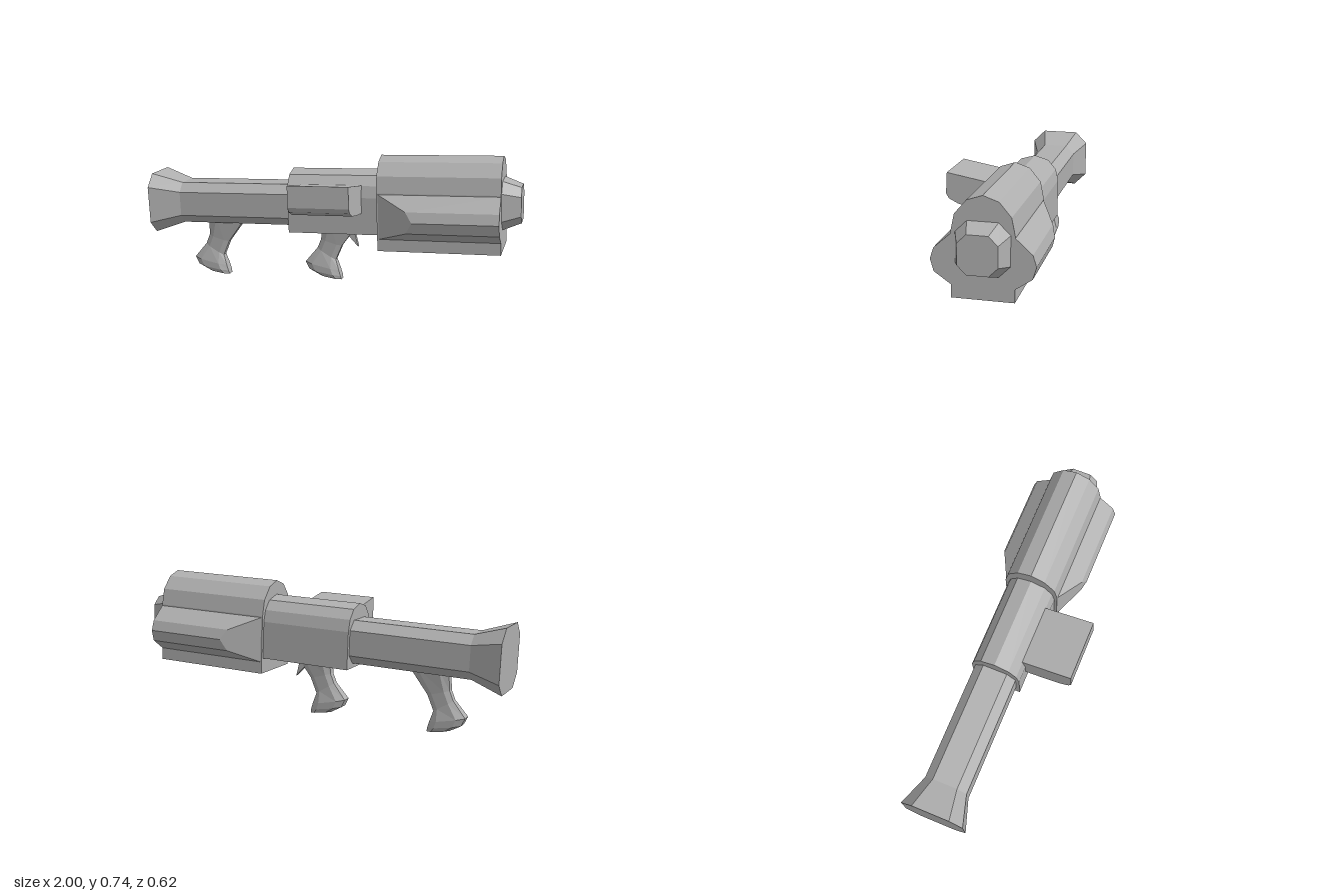
import * as THREE from 'three';

const grey = new THREE.MeshStandardMaterial({ color: 0xb0b0b0, flatShading: true });
grey.name = 'gunmetal grey';

// Octagon factors; f is the share of each side left flat
const octagon = (f) => [[1, -f], [1, f], [f, 1], [-f, 1], [-1, f], [-1, -f], [-f, -1], [f, -1]];

// Skin a series of rings and close both ends with fans
function loft(name, rings) {
  const pos = [];
  const n = rings[0].length;
  const tri = (...pts) => pts.forEach((p) => pos.push(p.x, p.y, p.z));
  const centre = (ring) => ring.reduce((s, p) => s.add(p), new THREE.Vector3()).divideScalar(n);
  for (let i = 0; i < rings.length - 1; i++) {
    for (let j = 0; j < n; j++) {
      const k = (j + 1) % n;
      const a = rings[i][j], b = rings[i][k], c = rings[i + 1][k], d = rings[i + 1][j];
      tri(a, d, c);
      tri(a, c, b);
    }
  }
  const first = rings[0], last = rings[rings.length - 1];
  const c0 = centre(first), c1 = centre(last);
  for (let j = 0; j < n; j++) {
    const k = (j + 1) % n;
    tri(c0, first[j], first[k]);
    tri(c1, last[k], last[j]);
  }
  const geo = new THREE.BufferGeometry();
  geo.setAttribute('position', new THREE.Float32BufferAttribute(pos, 3));
  geo.computeVertexNormals();
  const mesh = new THREE.Mesh(geo, grey);
  mesh.name = name;
  return mesh;
}

// Ring of [z, y] points at x, where x may depend on z
const ringAt = (profile, x) =>
  profile.map(([z, y]) => new THREE.Vector3(typeof x === 'function' ? x(z) : x, y, z));

const prism = (name, profile, x0, x1) => loft(name, [ringAt(profile, x0), ringAt(profile, x1)]);

// Full symmetric profile from its right half, listed bottom to top and ending on the centre line
const mirrored = (half) => [...half, ...half.slice(0, -1).reverse().map(([z, y]) => [-z, y])];

// Octagonal tube through stations [x, radius, centre height, flat share]
const octTube = (name, stations) =>
  loft(name, stations.map(([x, r, cy, f]) => ringAt(octagon(f).map(([a, b]) => [a * r, cy + b * r]), x)));

// Pistol grip: rings spanning rear point to front point with a half width
function makeGrip(name) {
  const sections = [
    [-0.70, 0.33, -0.49, 0.33, 0.04],
    [-0.705, 0.22, -0.59, 0.19, 0.03],
    [-0.725, 0.17, -0.623, 0.11, 0.03],
    [-0.79, 0.09, -0.605, 0.055, 0.045],
    [-0.77, 0.05, -0.595, 0.022, 0.045],
    [-0.71, 0.018, -0.59, 0.002, 0.034],
  ];
  return loft(name, sections.map(([lx, ly, rx, ry, w]) =>
    octagon(0.55).map(([a, b]) => new THREE.Vector3(
      (lx + rx) / 2 + (b * (rx - lx)) / 2, (ly + ry) / 2 + (b * (ry - ly)) / 2, a * w))));
}

export function createModel() {
  const model = new THREE.Group();
  model.name = 'launcher';
  const core = new THREE.Group();
  core.name = 'core';
  core.position.z = -0.07;
  model.add(core);

  // The body points slightly upward
  const body = new THREE.Group();
  body.name = 'body';
  body.rotation.z = 0.04;
  core.add(body);

  // Rear tube with flared end
  body.add(octTube('rearTube', [
    [-0.977, 0.163, 0.442, 0.6], [-0.815, 0.111, 0.441, 0.58], [-0.18, 0.111, 0.441, 0.58],
  ]));

  // Receiver with rounded top
  body.add(prism('receiver', mirrored(
    [[0.13, 0.306], [0.13, 0.5], [0.115, 0.56], [0.075, 0.608], [0, 0.63]]), -0.19, 0.3));

  // Large front housing
  const u0 = 0.293, u1 = 0.922;
  body.add(prism('frontHousing', mirrored(
    [[0.145, 0.226], [0.145, 0.53], [0.128, 0.614], [0.073, 0.679], [0, 0.704]]), u0, u1));

  // Side pods with slanted rear faces
  const pod = [[0.143, 0.287], [0.223, 0.342], [0.24, 0.4], [0.223, 0.453], [0.143, 0.525]];
  for (const side of [1, -1]) {
    const profile = side > 0 ? pod : pod.map(([z, y]) => [-z, y]).reverse();
    body.add(loft(side > 0 ? 'frontSidePod' : 'backSidePod', [
      ringAt(profile, (z) => u0 + 0.004 + (Math.abs(z) - 0.143) * 2),
      ringAt(profile, u1),
    ]));
  }

  // Tapered muzzle
  body.add(octTube('muzzle', [[0.91, 0.129, 0.463, 0.57], [1.015, 0.091, 0.463, 0.54]]));

  // Sight box reaching out to one side
  body.add(prism('sightBox', [
    [0.07, 0.412], [0.24, 0.433], [0.315, 0.447], [0.365, 0.472],
    [0.38, 0.497], [0.375, 0.608], [0.07, 0.555],
  ], -0.105, 0.21));

  // Two matching grips
  const rearGrip = makeGrip('rearGrip');
  const frontGrip = makeGrip('frontGrip');
  frontGrip.position.set(0.648, 0.024, 0);
  core.add(rearGrip, frontGrip);

  // Trigger spike
  const shape = new THREE.Shape(
    [[0.095, 0.27], [0.147, 0.215], [0.122, 0.31]].map(([x, y]) => new THREE.Vector2(x, y)));
  const trigger = new THREE.Mesh(
    new THREE.ExtrudeGeometry(shape, { depth: 0.024, bevelEnabled: false }).translate(0, 0, -0.012), grey);
  trigger.name = 'trigger';
  core.add(trigger);

  return model;
}
